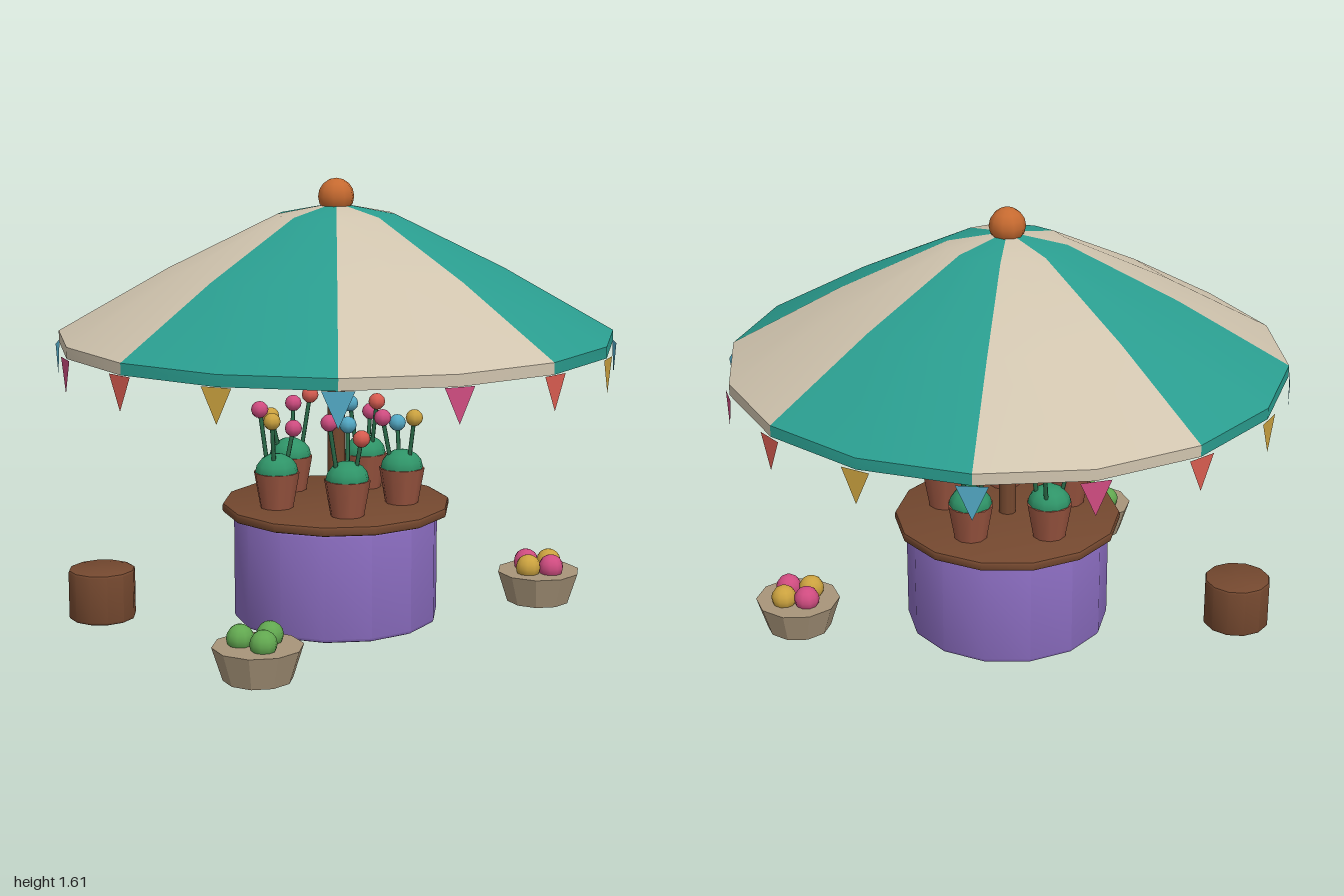
import * as THREE from 'three';
import { toCreasedNormals } from 'three/addons/utils/BufferGeometryUtils.js';

const COLORS = {
  teal: 0x2a9d8f, cream: 0xd0c4ae, purple: 0x8a6cbf, wood: 0x74482f, orange: 0xc66a30,
  pot: 0x9a5540, leaf: 0x2f9468, stem: 0x2a6a48, basket: 0xa8957a, green: 0x62a850,
  red: 0xd85c50, yellow: 0xcba23f, blue: 0x52a8c4, pink: 0xcf4c80,
};
const mats = {};
function mat(color, double = false) {
  const key = color + double;
  if (!mats[key]) {
    mats[key] = new THREE.MeshStandardMaterial({ color: COLORS[color] });
    if (double) mats[key].side = THREE.DoubleSide;
  }
  return mats[key];
}

function add(parent, name, geometry, color, pos = [0, 0, 0], double = false) {
  const mesh = new THREE.Mesh(geometry, mat(color, double));
  mesh.name = name;
  mesh.position.set(...pos);
  parent.add(mesh);
  return mesh;
}

function group(parent, name, x = 0, y = 0, z = 0) {
  const g = new THREE.Group();
  g.name = name;
  g.position.set(x, y, z);
  parent.add(g);
  return g;
}

function lathe(points, sides, start = 0, length = Math.PI * 2) {
  const profile = points.map(([r, y]) => new THREE.Vector2(r, y));
  return toCreasedNormals(new THREE.LatheGeometry(profile, sides, start, length), 0.56);
}

// Solid disc or drum with softened edges
function drum(r, y0, y1, bevel, sides) {
  const c = bevel * 0.3;
  return lathe([
    [0, y0], [r - bevel, y0], [r - c, y0 + c], [r, y0 + bevel],
    [r, y1 - bevel], [r - c, y1 - c], [r - bevel, y1], [0, y1],
  ], sides);
}

// Thin rod between two points
function rod(parent, name, a, b, radius, color) {
  const from = new THREE.Vector3(...a), dir = new THREE.Vector3(...b).sub(from);
  const mesh = add(parent, name, new THREE.CylinderGeometry(radius, radius, dir.length(), 6), color);
  mesh.position.copy(from).addScaledVector(dir, 0.5);
  mesh.quaternion.setFromUnitVectors(new THREE.Vector3(0, 1, 0), dir.normalize());
}

// Striped canopy with a short valance, eight wedges
function addCanopy(root) {
  const canopy = group(root, 'canopy');
  const profile = [[0.995, 1.02], [0.995, 1.06], [0.6, 1.285], [0.21, 1.477], [0.03, 1.512]];
  for (let i = 0; i < 8; i++) {
    const wedge = lathe(profile, 2, i * Math.PI / 4, Math.PI / 4);
    add(canopy, 'canopyPanel', wedge, i % 2 ? 'cream' : 'teal', [0, 0, 0], true);
  }
  add(root, 'finial', new THREE.SphereGeometry(0.065, 10, 8), 'orange', [0, 1.54, 0]);
}

// Triangular pennants below the valance
function addBunting(root) {
  const bunting = group(root, 'bunting');
  const shape = new THREE.Shape([
    new THREE.Vector2(-0.053, 0), new THREE.Vector2(0, -0.12), new THREE.Vector2(0.053, 0),
  ]);
  const geometry = new THREE.ShapeGeometry(shape);
  const order = ['red', 'yellow', 'blue', 'pink'];
  for (let i = 0; i < 16; i++) {
    const a = i * Math.PI / 8;
    const flag = add(bunting, 'pennant', geometry, order[i % 4],
      [Math.sin(a), 1.02, Math.cos(a)], true);
    flag.rotation.y = a;
  }
}

// Five flower pots in a ring on the counter; flowers are [color, dx, y, dz] from the pot
function addPots(root) {
  const bouquets = [
    [['red', 0.065, 0.79, 0.04], ['pink', 0.07, 0.745, -0.055], ['yellow', -0.07, 0.72, -0.03]],
    [['pink', 0.06, 0.71, -0.03], ['blue', -0.05, 0.755, -0.03], ['red', -0.01, 0.77, 0.07]],
    [['yellow', 0, 0.755, 0.06], ['blue', 0.04, 0.715, -0.06], ['pink', -0.06, 0.75, -0.04]],
    [['pink', -0.07, 0.775, -0.02], ['red', 0.02, 0.715, 0.05], ['blue', 0.075, 0.74, -0.07]],
    [['pink', -0.02, 0.785, -0.065], ['yellow', -0.055, 0.76, 0.035], ['pink', 0.07, 0.715, 0.015]],
  ];
  const potGeometry = new THREE.CylinderGeometry(0.083, 0.06, 0.13, 10);
  const leafGeometry = new THREE.SphereGeometry(0.078, 10, 4, 0, Math.PI * 2, 0, Math.PI / 2);
  leafGeometry.scale(1, 0.85, 1);
  const flowerGeometry = new THREE.SphereGeometry(0.031, 8, 6);
  bouquets.forEach((flowers, i) => {
    const a = Math.PI - i * Math.PI * 2 / 5;
    const plant = group(root, 'flowerPot', 0.24 * Math.sin(a), 0, 0.24 * Math.cos(a));
    add(plant, 'pot', potGeometry, 'pot', [0, 0.5, 0]);
    add(plant, 'foliage', leafGeometry, 'leaf', [0, 0.565, 0]);
    for (const [color, x, y, z] of flowers) {
      rod(plant, 'stem', [x * 0.55, 0.58, z * 0.55], [x, y, z], 0.008, 'stem');
      add(plant, 'blossom', flowerGeometry, color, [x, y, z]);
    }
  });
}

// Tapered basket with a ring of fruit
function addBasket(root, x, z, colors, startAngle) {
  const basket = group(root, 'fruitBasket', x, 0, z);
  const body = lathe([[0, 0.005], [0.118, 0.005], [0.155, 0.12], [0, 0.12]], 10);
  add(basket, 'basket', body, 'basket').rotation.y = Math.PI / 2;
  const fruit = new THREE.SphereGeometry(0.047, 10, 8);
  colors.forEach((color, i) => {
    const a = startAngle + i * Math.PI * 2 / colors.length;
    add(basket, 'fruit', fruit, color, [0.06 * Math.sin(a), 0.143, 0.06 * Math.cos(a)]);
  });
}

export function createModel() {
  const root = new THREE.Group();
  root.name = 'marketStall';

  // Stand, counter and central pole
  add(root, 'standBase', drum(0.373, 0.004, 0.4, 0.014, 14), 'purple');
  add(root, 'counterTop', drum(0.415, 0.4, 0.436, 0.01, 14), 'wood');
  add(root, 'pole', new THREE.CylinderGeometry(0.032, 0.032, 1.24, 10), 'wood', [0, 0.62, 0]);

  addCanopy(root);
  addBunting(root);
  addPots(root);

  // Goods around the stand
  addBasket(root, 0.663, 0.415, ['pink', 'yellow', 'pink', 'yellow'], 0);
  addBasket(root, -0.713, 0.34, ['green', 'green', 'green'], -0.44);
  add(root, 'stool', drum(0.122, 0.004, 0.19, 0.01, 12), 'wood', [-0.63, 0, -0.58]);

  return root;
}
